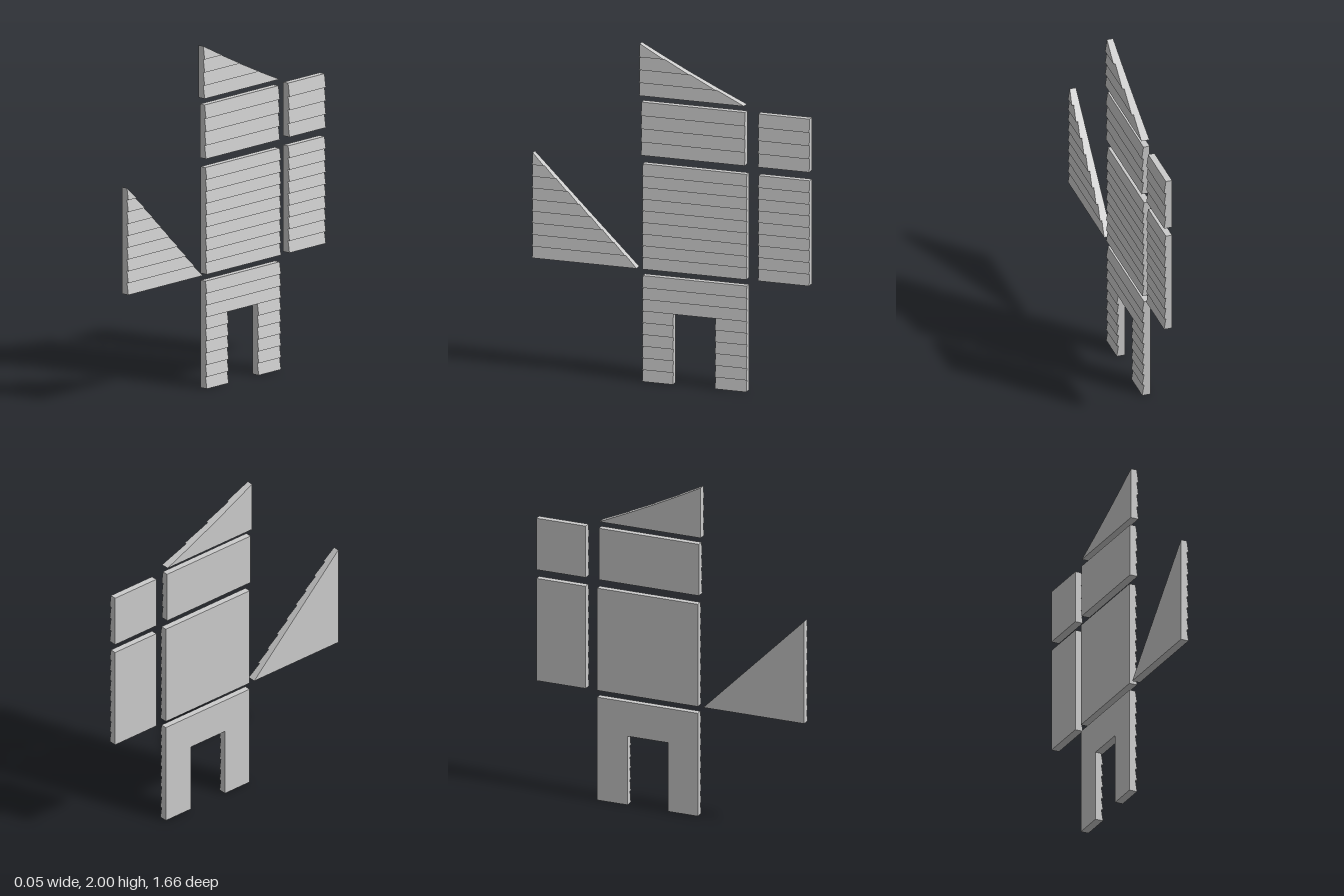
import * as THREE from 'three';

const BACK = -0.026, INNER = 0.011, OUTER = 0.022; // depth of slab and lapped boards

// Stack of lapped boards; span(t) gives [zMin, zMax] at height fraction t
function sidingGeometry(y0, y1, rows, span, capTop = true) {
  const pos = [];
  const quad = (a, b, c, d) => pos.push(...a, ...b, ...c, ...a, ...c, ...d);
  for (let i = 0; i < rows; i++) {
    const t0 = i / rows, t1 = (i + 1) / rows;
    const b = y0 + (y1 - y0) * t0, t = y0 + (y1 - y0) * t1;
    const [bl, bh] = span(t0), [tl, th] = span(t1);
    // slanted board face, flat back, two ends
    quad([OUTER, b, bh], [OUTER, b, bl], [INNER, t, tl], [INNER, t, th]);
    quad([BACK, b, bl], [BACK, b, bh], [BACK, t, th], [BACK, t, tl]);
    quad([BACK, b, bh], [OUTER, b, bh], [INNER, t, th], [BACK, t, th]);
    quad([OUTER, b, bl], [BACK, b, bl], [BACK, t, tl], [INNER, t, tl]);
    // underside: whole slab on the lowest board, only the lip above
    const u = i === 0 ? BACK : INNER;
    quad([u, b, bl], [OUTER, b, bl], [OUTER, b, bh], [u, b, bh]);
    if (i === rows - 1 && capTop && th > tl)
      quad([BACK, t, th], [INNER, t, th], [INNER, t, tl], [BACK, t, tl]);
  }
  const g = new THREE.BufferGeometry();
  g.setAttribute('position', new THREE.Float32BufferAttribute(pos, 3));
  g.computeVertexNormals();
  return g;
}

export function createModel() {
  const model = new THREE.Group();
  model.name = 'sidingPanels';
  const material = new THREE.MeshStandardMaterial({ color: 0xcccccc, flatShading: true });
  const add = (name, parent, ...args) => {
    const mesh = new THREE.Mesh(sidingGeometry(...args), material);
    mesh.name = name;
    parent.add(mesh);
  };
  const rect = (z0, z1) => () => [z0, z1];

  // Wall with a doorway: two jambs below a lintel
  const doorWall = new THREE.Group();
  doorWall.name = 'doorwayWall';
  model.add(doorWall);
  add('frontJamb', doorWall, 0, 0.418, 6, rect(-0.008, 0.175), false);
  add('rearJamb', doorWall, 0, 0.418, 6, rect(-0.447, -0.26), false);
  add('lintel', doorWall, 0.418, 0.626, 3, rect(-0.447, 0.175));

  // Rectangular walls
  add('fullWall', model, 0.667, 1.289, 9, rect(-0.447, 0.175));
  add('narrowWall', model, 0.667, 1.289, 9, rect(-0.823, -0.518));
  add('halfWall', model, 1.342, 1.655, 4.5 | 0 || 4, rect(-0.437, 0.182));
  add('smallWall', model, 1.342, 1.655, 4, rect(-0.823, -0.518));

  // Triangular gables, the upper one with a slightly sagging slope
  add('steepGable', model, 0.667, 1.289, 9, t => [0.209 + 0.624 * t, 0.833]);
  add('shallowGable', model, 1.695, 2, 4, t => [-0.434 + 0.627 * t + 0.06 * t * (1 - t), 0.193]);

  return model;
}
